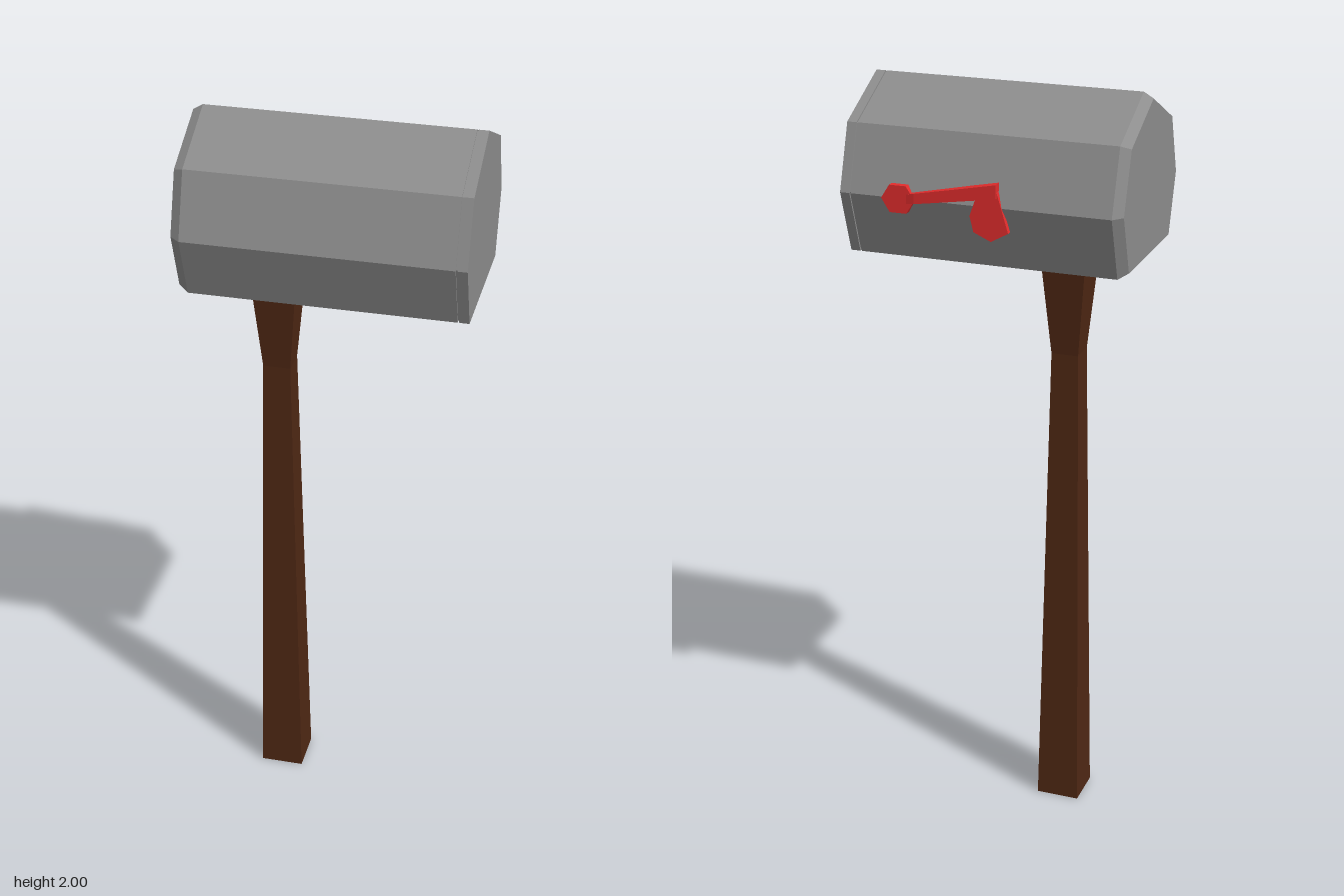
import * as THREE from 'three';

const material = (color) => new THREE.MeshStandardMaterial({ color, flatShading: true });

// Solid from equal-sized rings of points, counter-clockwise about the direction of travel
function loft(rings) {
  const n = rings[0].length;
  const out = [];
  const tri = (...points) => points.forEach((p) => out.push(...p));
  for (let r = 0; r + 1 < rings.length; r++) {
    const a = rings[r], b = rings[r + 1];
    for (let i = 0; i < n; i++) {
      const j = (i + 1) % n;
      tri(a[i], a[j], b[j]);
      tri(a[i], b[j], b[i]);
    }
  }
  const first = rings[0], last = rings[rings.length - 1];
  for (let i = 1; i + 1 < n; i++) {
    tri(first[0], first[i + 1], first[i]);
    tri(last[0], last[i], last[i + 1]);
  }
  const geometry = new THREE.BufferGeometry();
  geometry.setAttribute('position', new THREE.Float32BufferAttribute(out, 3));
  geometry.computeVertexNormals();
  return geometry;
}

// Flat plate from an outline in x, y, filling z0 to z1
function plate(points, z0, z1) {
  const shape = new THREE.Shape(points.map(([x, y]) => new THREE.Vector2(x, y)));
  const geometry = new THREE.ExtrudeGeometry(shape, { depth: z1 - z0, bevelEnabled: false });
  return geometry.translate(0, 0, z0);
}

export function createModel() {
  const model = new THREE.Group();
  model.name = 'mailbox';
  const grey = material(0x8d8d8d);
  const brown = material(0x4f2814);
  const red = material(0xe32d2d);

  const add = (parent, name, geometry, mat) => {
    const mesh = new THREE.Mesh(geometry, mat);
    mesh.name = name;
    parent.add(mesh);
    return mesh;
  };

  // Seven-sided box section as [y, z], scaled about its centre
  const section = [
    [2.0, 0.004], [1.91, 0.19], [1.745, 0.245], [1.58, 0.19],
    [1.58, -0.182], [1.745, -0.238], [1.91, -0.182],
  ];
  const boxRing = (x, s) => section.map(([y, z]) => [x, 1.79 + (y - 1.79) * s, 0.004 + (z - 0.004) * s]);

  // Box with bevelled back end, door at +x, and the narrow seam between them
  add(model, 'box', loft([boxRing(-0.365, 0.93), boxRing(-0.34, 1), boxRing(0.335, 1)]), grey);
  add(model, 'doorSeam', loft([boxRing(0.33, 0.98), boxRing(0.342, 0.98)]), grey);
  add(model, 'door', loft([boxRing(0.339, 1), boxRing(0.364, 1)]), grey);

  // Thin mounting plate under the box
  const mount = add(model, 'mountingPlate', new THREE.BoxGeometry(0.29, 0.004, 0.29), grey);
  mount.position.set(-0.155, 1.578, 0.004);

  // Square post, narrowing upward and flaring below the box
  const postRing = (y, h) =>
    [[-1, 1], [1, 1], [1, -1], [-1, -1]].map(([x, z]) => [-0.157 + x * h, y, 0.006 + z * h]);
  add(model, 'post', loft([postRing(0, 0.058), postRing(1.31, 0.036), postRing(1.577, 0.06)]), brown);

  // Signal flag on the back side: pivot, rising arm and hanging paddle
  const flag = new THREE.Group();
  flag.name = 'signalFlag';
  model.add(flag);
  const hexagon = Array.from({ length: 6 }, (_, i) => {
    const a = (i * Math.PI) / 3;
    return [0.207 + 0.044 * Math.cos(a), 1.744 + 0.04 * Math.sin(a)];
  });
  add(flag, 'flagPivot', plate(hexagon, -0.244, -0.226), red);

  const armRing = (x, low, high, back, front) =>
    [[x, high, back], [x, high, front], [x, low, front], [x, low, back]];
  add(flag, 'flagArm', loft([
    armRing(-0.05, 1.77, 1.805, -0.248, -0.222),
    armRing(0.04, 1.756, 1.787, -0.248, -0.222),
    armRing(0.163, 1.737, 1.763, -0.248, -0.229),
    armRing(0.19, 1.733, 1.757, -0.243, -0.228),
  ]), red);
  add(flag, 'flagPaddle', plate([
    [0.0, 1.775], [-0.05, 1.785], [-0.08, 1.685], [-0.035, 1.66], [0.01, 1.68], [0.02, 1.72],
  ], -0.241, -0.227), red);

  return model;
}
